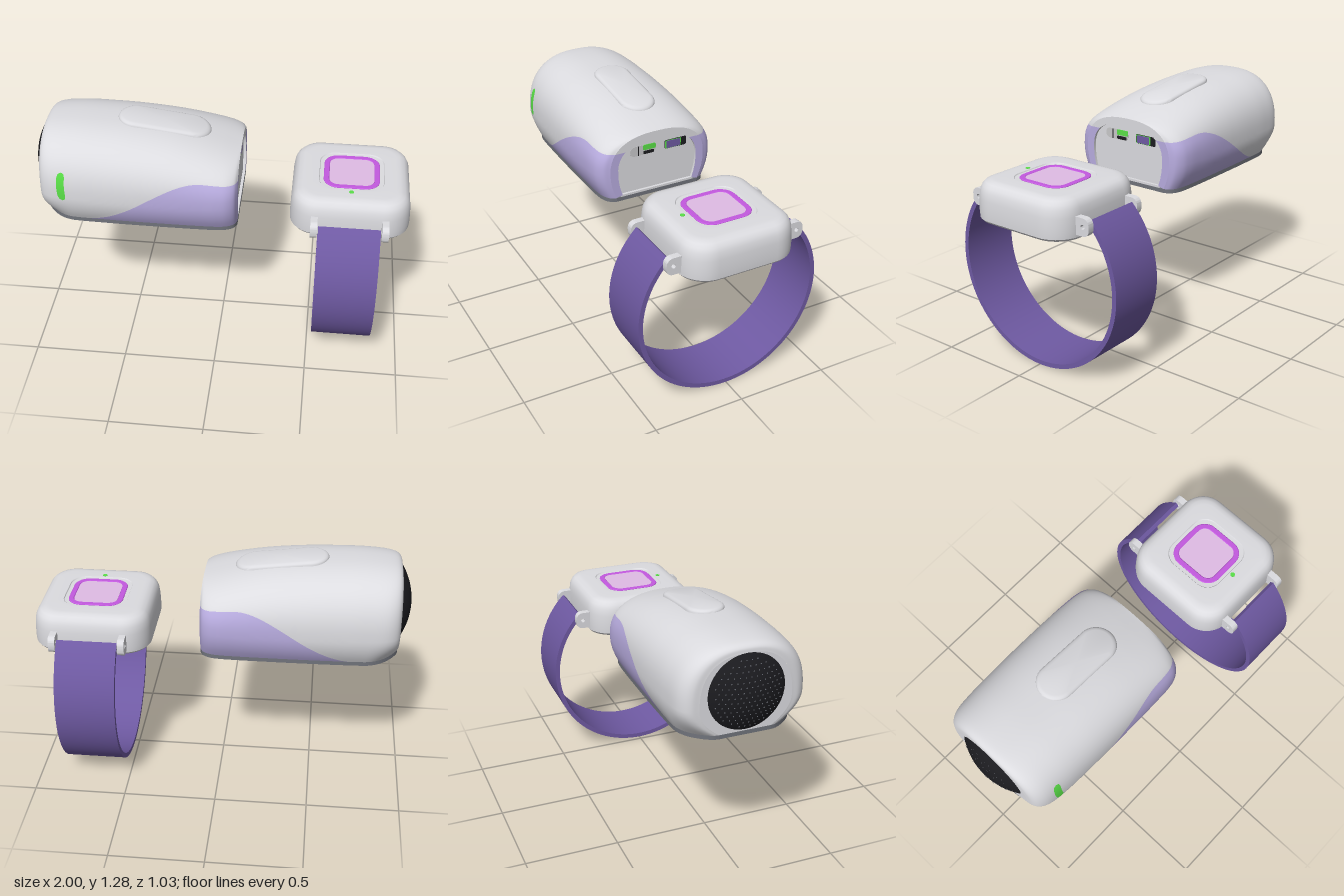
import * as THREE from 'three';
import { toCreasedNormals, mergeGeometries } from 'three/addons/utils/BufferGeometryUtils.js';

const mat = (name, color) => {
  const m = new THREE.MeshStandardMaterial({ color });
  m.name = name;
  return m;
};

// Centre height of the housing's widest line, and its dome exponent
const YC = 0.95, N = 2.5;

// How far the lower edge tucks in; more at the grille end
const tuckAt = x => 0.13 + 0.33 * THREE.MathUtils.clamp((-x - 0.76) / 0.18, 0, 1) ** 2;

// Half-width of a housing section at height y
const halfWidth = ({ x, w, T }, y) => y < YC
  ? w * (1 - tuckAt(x) * ((YC - y) / 0.15) ** 2)
  : w * Math.pow(Math.max(0, 1 - ((y - YC) / (T - YC)) ** N), 1 / N);

// Point [z, y] of a half section, u = 0 at the bottom edge and 1 at the crown
function sectionPoint(s, u) {
  if (u < 0.25) {
    const y = s.yb + (YC - s.yb) * u * 4;
    return [halfWidth(s, y), y];
  }
  const a = (u - 0.25) / 0.75 * Math.PI / 2;
  return [s.w * Math.pow(Math.max(0, Math.cos(a)), 2 / N), YC + (s.T - YC) * Math.pow(Math.sin(a), 2 / N)];
}

// Upper edge of the coloured wave along the side
const waveHeight = x => 0.8 + 0.28 * THREE.MathUtils.smoothstep(x, -0.72, -0.1)
  - 0.015 * THREE.MathUtils.smoothstep(x, -0.1, 0.1);

// Loft of sections { x, w, T, yb }, split into two colours along the wave
function loft(stations, waveMat, shellMat, name) {
  const LOW = 8, R = 32, cols = 2 * R + 1, pos = [], idx = [];
  for (const st of stations) {
    let lo = 0, hi = 1;
    for (let k = 0; k < 30; k++) {
      const m = (lo + hi) / 2;
      if (sectionPoint(st, m)[1] < waveHeight(st.x)) lo = m; else hi = m;
    }
    for (let j = 0; j < cols; j++) {
      const k = j <= R ? j : 2 * R - j;
      const u = k <= LOW ? lo * k / LOW : lo + (1 - lo) * (k - LOW) / (R - LOW);
      const [z, y] = sectionPoint(st, u);
      pos.push(st.x, y, j <= R ? -z : z);
    }
  }
  for (let j = 0; j < cols - 1; j++)
    for (let i = 0; i < stations.length - 1; i++) {
      const a = i * cols + j, b = a + cols;
      idx.push(a, a + 1, b, b, a + 1, b + 1);
    }
  const g = new THREE.BufferGeometry();
  g.setAttribute('position', new THREE.Float32BufferAttribute(pos, 3));
  g.setIndex(idx);
  g.computeVertexNormals();
  const strip = (stations.length - 1) * 6;
  g.addGroup(0, LOW * strip, 0);
  g.addGroup(LOW * strip, (cols - 1 - 2 * LOW) * strip, 1);
  g.addGroup((cols - 1 - LOW) * strip, LOW * strip, 0);
  const m = new THREE.Mesh(g, [waveMat, shellMat]);
  m.name = name;
  return m;
}

// Flat cap in the shape of a whole section
function sectionCap(s) {
  const half = Array.from({ length: 33 }, (_, i) => sectionPoint(s, i / 32));
  const pts = half.map(([z, y]) => new THREE.Vector2(z, y));
  half.slice(0, -1).reverse().forEach(([z, y]) => pts.push(new THREE.Vector2(-z, y)));
  return new THREE.ShapeGeometry(new THREE.Shape(pts));
}

// Rounded-rectangle solid from a profile of [inset, height]
function slab(w, d, r, profile, rMin = 0.002) {
  const S = 10, n = 4 * (S + 1), pos = [], idx = [];
  for (const [inset, y] of profile) {
    const rr = Math.max(r - inset, rMin);
    for (let q = 0; q < 4; q++)
      for (let s = 0; s <= S; s++) {
        const a = (q + s / S) * Math.PI / 2;
        const sx = q === 0 || q === 3 ? 1 : -1, sz = q < 2 ? 1 : -1;
        pos.push(sx * (w / 2 - inset - rr) + rr * Math.cos(a), y, sz * (d / 2 - inset - rr) + rr * Math.sin(a));
      }
  }
  const last = profile.length - 1, c = pos.length / 3;
  pos.push(0, profile[0][1], 0, 0, profile[last][1], 0);
  for (let k = 0; k < n; k++) {
    const k2 = (k + 1) % n;
    for (let i = 0; i < last; i++) {
      const a = i * n + k, b = i * n + k2;
      idx.push(a, a + n, b, b, a + n, b + n);
    }
    idx.push(c, k, k2, c + 1, last * n + k2, last * n + k);
  }
  const g = new THREE.BufferGeometry();
  g.setAttribute('position', new THREE.Float32BufferAttribute(pos, 3));
  g.setIndex(idx);
  return toCreasedNormals(g, 0.6);
}

export function createModel() {
  const shell = mat('shellGrey', 0xdcdce0), lavender = mat('lavender', 0xb8acdf);
  const purple = mat('strapPurple', 0x6f5aa3), magenta = mat('magenta', 0xc45ae0);
  const pink = mat('screenPink', 0xe0bce6), green = mat('green', 0x5ae048);
  const black = mat('black', 0x1c1c20), charcoal = mat('charcoal', 0x70737b);
  const padGrey = mat('padGrey', 0xc8c8ca), backGrey = mat('backGrey', 0xaeaeb8);
  const model = new THREE.Group();
  const add = (parent, name, geo, material, x = 0, y = 0, z = 0) => {
    const m = new THREE.Mesh(geo, material);
    m.name = name;
    m.position.set(x, y, z);
    parent.add(m);
    return m;
  };

  // ---- Speaker housing ----
  const unit = new THREE.Group();
  unit.name = 'housing';
  unit.position.z = 0.01;
  model.add(unit);
  // x, half-width, crown height
  const keys = [[-0.94, 0.24, 1.212], [-0.934, 0.28, 1.235], [-0.915, 0.308, 1.249], [-0.87, 0.332, 1.258],
    [-0.75, 0.346, 1.265], [-0.6, 0.352, 1.262], [-0.45, 0.355, 1.254], [-0.25, 0.356, 1.232], [-0.1, 0.355, 1.203],
    [0, 0.351, 1.178], [0.05, 0.34, 1.164], [0.085, 0.315, 1.154], [0.1, 0.28, 1.15]];
  const stations = new THREE.CatmullRomCurve3(keys.map(k => new THREE.Vector3(...k))).getPoints(84)
    .map(p => ({ x: p.x, w: p.y, T: p.z, yb: 0.805 }));
  const at = x => {
    const i = Math.max(1, stations.findIndex(s => s.x >= x)), a = stations[i - 1], b = stations[i];
    const t = (x - a.x) / (b.x - a.x);
    return { x, w: a.w + (b.w - a.w) * t, T: a.T + (b.T - a.T) * t };
  };
  unit.add(loft(stations, lavender, shell, 'shell'));
  add(unit, 'grilleEnd', sectionCap(stations[0]).rotateY(-Math.PI / 2), shell, -0.94);

  // Port end: rim, shallow recess wall and panel
  const outer = stations[stations.length - 1], inner = { x: 0.1, w: 0.235, T: 1.115, yb: 0.815 };
  const PX = 0.085;
  unit.add(loft([outer, inner], lavender, shell, 'portRim'));
  unit.add(loft([inner, { ...inner, x: PX }], shell, shell, 'recessWall'));
  add(unit, 'portPanel', sectionCap({ ...inner, x: PX }).rotateY(Math.PI / 2), shell, PX);
  add(unit, 'portSill', new THREE.BoxGeometry(0.015, 0.014, 0.44), shell, 0.0922, 0.81);
  const port = (name, m, y, z, h, d, r, t) =>
    add(unit, name, slab(h, d, r, [[0, 0], [0, t]]).rotateZ(-Math.PI / 2), m, PX, y, z);
  port('wideSlot', padGrey, 1.047, 0.08, 0.056, 0.152, 0.027, 0.002);
  port('wideSlotBoard', green, 1.06, 0.043, 0.03, 0.076, 0.008, 0.004);
  port('wideSlotContacts', black, 1.031, 0.047, 0.018, 0.064, 0.006, 0.004);
  port('wideSlotEdge', black, 1.047, 0.108, 0.054, 0.005, 0.002, 0.004);
  port('narrowSlot', black, 1.047, -0.115, 0.05, 0.13, 0.008, 0.002);
  port('narrowSlotBoard', green, 1.047, -0.1, 0.046, 0.094, 0.004, 0.004);
  port('narrowSlotSocket', purple, 1.047, -0.1, 0.042, 0.08, 0.004, 0.006);

  // Dark base and foot pad
  const edge = s => halfWidth(s, s.yb);
  const outline = [...stations.map(s => new THREE.Vector2(s.x, edge(s))),
    ...stations.slice().reverse().map(s => new THREE.Vector2(s.x, -edge(s)))];
  add(unit, 'base', new THREE.ExtrudeGeometry(new THREE.Shape(outline), { depth: 0.022, bevelEnabled: false })
    .rotateX(Math.PI / 2), charcoal, 0, 0.805);
  add(unit, 'footPad', slab(0.71, 0.455, 0.07, [[0.004, 0], [0, 0.004], [0, 0.014]]), padGrey, -0.375, 0.77, -0.007);

  // Top button, bent to follow the crown
  const button = slab(0.49, 0.2, 0.1, [[0, -0.03], [0, 0], [0.004, 0.008], [0.012, 0.013], [0.024, 0.016]])
    .translate(-0.31, 0, 0);
  const bp = button.attributes.position;
  for (let i = 0; i < bp.count; i++) bp.setY(i, bp.getY(i) + at(bp.getX(i)).T);
  add(unit, 'topButton', toCreasedNormals(button, 0.6), shell, 0, 0, -0.01);

  // Green mark lying on the front side
  const mark = new THREE.PlaneGeometry(1, 1, 4, 24), mp = mark.attributes.position;
  for (let i = 0; i < mp.count; i++) {
    const v = mp.getY(i) * 2, y = 1.02 + v * 0.08;
    const x = -0.812 + mp.getX(i) * 0.042 * Math.sqrt(Math.max(0, 1 - v ** 6)) + 0.008 * v * v;
    mp.setXYZ(i, x, y, halfWidth(at(x), y) + 0.003);
  }
  mark.computeVertexNormals();
  add(unit, 'sideMark', mark, green);

  // Domed grille with a pattern of dots
  const R = 0.363, GY = 1.012;
  add(unit, 'grille', new THREE.SphereGeometry(R, 48, 12, 0, Math.PI * 2, 0, 0.583).rotateZ(Math.PI / 2), black, R - 1, GY);
  const dots = [];
  for (let i = -7; i <= 7; i++)
    for (let j = -7; j <= 7; j++) {
      const z = (j + (i & 1) / 2) * 0.028, y = i * 0.0245, q = z * z + y * y;
      if (q > 0.18 ** 2) continue;
      dots.push(new THREE.CircleGeometry(0.0035, 8).rotateY(-Math.PI / 2)
        .translate(R - 1 - Math.sqrt(R * R - q) - 0.003, GY + y, z));
    }
  add(unit, 'grilleDots', mergeGeometries(dots), charcoal);

  // ---- Wrist unit ----
  const watch = new THREE.Group();
  watch.name = 'wristUnit';
  watch.position.x = 0.685;
  model.add(watch);
  add(watch, 'case', slab(0.63, 0.625, 0.15, [[0.012, 0.785], [0.002, 0.797], [0, 0.83], [0.003, 0.9], [0.009, 0.94],
    [0.02, 0.963], [0.036, 0.979], [0.06, 0.988], [0.08, 0.99], [0.143, 0.99], [0.146, 0.985], [0.16, 0.984]], 0.085), shell);
  add(watch, 'screenFrame', slab(0.296, 0.3, 0.08, [[0, 0.98], [0, 0.986], [0.004, 0.989], [0.026, 0.989],
    [0.03, 0.985]], 0.045), magenta);
  add(watch, 'screen', slab(0.236, 0.24, 0.048, [[0, 0.982], [0, 0.9865]]), pink);
  add(watch, 'statusLight', new THREE.CylinderGeometry(0.013, 0.013, 0.004, 20), green, 0, 0.9895, 0.189);
  add(watch, 'backPlate', slab(0.58, 0.575, 0.13, [[0, 0.783], [0, 0.79]]), backGrey);
  for (const [x, z, r] of [[0.22, -0.14, 0.02], [0.22, 0.14, 0.02], [0.11, -0.06, 0.014], [0.15, 0.06, 0.014]])
    add(watch, 'backContact', new THREE.CylinderGeometry(r, r, 0.004, 20), black, x, 0.7835, z);

  // Four strap lugs with pin holes
  const lug = new THREE.Shape();
  lug.moveTo(0.29, 0.812);
  lug.lineTo(0.35, 0.812);
  lug.absarc(0.35, 0.847, 0.035, -Math.PI / 2, 0);
  lug.absarc(0.35, 0.87, 0.035, 0, Math.PI / 2);
  lug.lineTo(0.29, 0.905);
  lug.closePath();
  lug.holes.push(new THREE.Path().absarc(0.348, 0.86, 0.012, 0, Math.PI * 2, true));
  const lugGeo = toCreasedNormals(new THREE.ExtrudeGeometry(lug, { depth: 0.036, bevelEnabled: false })
    .rotateY(-Math.PI / 2).translate(0.018, 0, 0), 0.6);
  for (const turn of [0, Math.PI])
    for (const x of [-0.183, 0.183]) add(watch, 'strapLug', lugGeo, shell, x).rotation.y = turn;

  // Open ring strap
  const band = new THREE.Shape();
  band.absarc(0, 0.515, 0.515, Math.PI * 0.745, Math.PI * 2.255, false);
  band.absarc(0, 0.515, 0.49, Math.PI * 2.255, Math.PI * 0.745, true);
  add(watch, 'strap', toCreasedNormals(new THREE.ExtrudeGeometry(band, { depth: 0.32, bevelEnabled: false, curveSegments: 72 })
    .rotateY(-Math.PI / 2), 0.6), purple, 0.16);

  return model;
}
